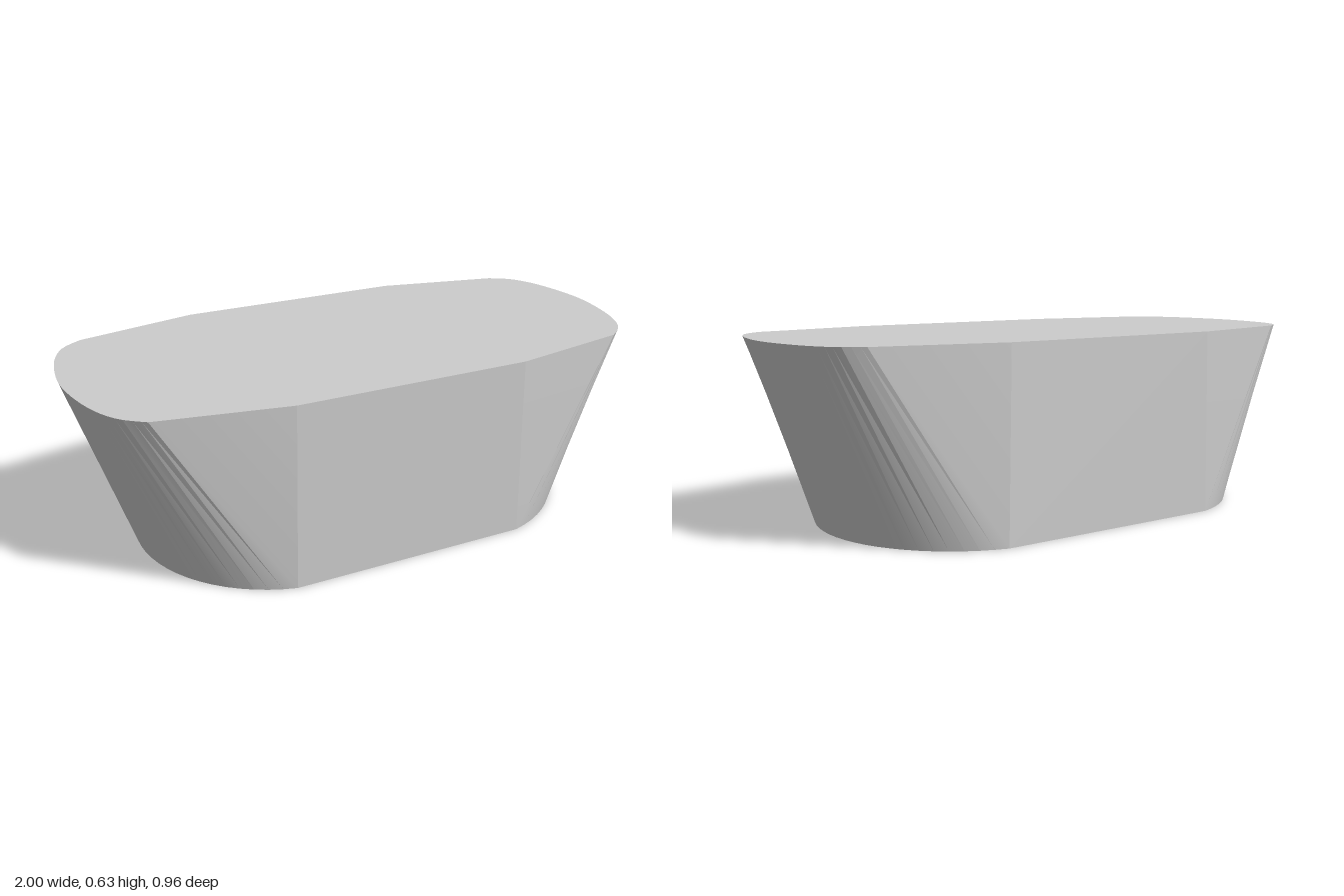
import * as THREE from 'three';
import { toCreasedNormals } from 'three/addons/utils/BufferGeometryUtils.js';

const HEIGHT = 0.63;
const SEGMENTS = 28;

// Right-hand end of the rim, back to front: straight chamfer, rounded end, straight chamfer
function rimEnd() {
  const curve = new THREE.SplineCurve([
    [0.84, -0.385], [0.91, -0.335], [0.957, -0.25], [0.987, -0.13], [1, 0],
    [0.987, 0.13], [0.957, 0.25], [0.91, 0.34], [0.84, 0.40],
  ].map(([x, z]) => new THREE.Vector2(x, z)));
  return [new THREE.Vector2(0.41, -0.48), ...curve.getPoints(SEGMENTS), new THREE.Vector2(0.41, 0.48)];
}

// Right-hand end of the base: one circular arc, with its ends doubled to match the rim
function baseEnd() {
  const half = 0.48, sagitta = 0.37;
  const r = (half * half + sagitta * sagitta) / (2 * sagitta);
  const sweep = Math.PI - Math.asin(half / r);
  const limit = r > sagitta ? Math.PI - sweep : sweep;
  const points = [];
  for (let i = 0; i <= SEGMENTS; i++) {
    const a = limit * (2 * i / SEGMENTS - 1);
    points.push(new THREE.Vector2(0.79 - r + r * Math.cos(a), r * Math.sin(a)));
  }
  return [points[0], ...points, points[SEGMENTS]];
}

// Close an end into a full outline by mirroring it across x
function outline(end, y) {
  const right = end.map((p) => new THREE.Vector3(p.x, y, p.y));
  const left = end.map((p) => new THREE.Vector3(-p.x, y, p.y)).reverse();
  return [...right, ...left];
}

function trianglesToGeometry(triangles) {
  const solid = triangles.filter(([a, b, c]) => new THREE.Triangle(a, b, c).getArea() > 1e-7);
  const geometry = new THREE.BufferGeometry().setFromPoints(solid.flat());
  return toCreasedNormals(geometry, 0.16);
}

export function createModel() {
  const group = new THREE.Group();
  group.name = 'taperedBlock';
  const material = new THREE.MeshStandardMaterial({ color: 0xcccccc });
  const rim = outline(rimEnd(), HEIGHT);
  const base = outline(baseEnd(), 0);
  const rimCentre = new THREE.Vector3(0, HEIGHT, 0);
  const baseCentre = new THREE.Vector3(0, 0, 0);

  const wall = [], top = [], bottom = [];
  for (let i = 0; i < rim.length; i++) {
    const j = (i + 1) % rim.length;
    wall.push([base[i], rim[i], base[j]], [rim[i], rim[j], base[j]]);
    top.push([rimCentre, rim[j], rim[i]]);
    bottom.push([baseCentre, base[i], base[j]]);
  }

  // Sloping wall and the two flat faces
  for (const [name, triangles] of Object.entries({ wall, top, bottom })) {
    const mesh = new THREE.Mesh(trianglesToGeometry(triangles), material);
    mesh.name = name;
    group.add(mesh);
  }
  return group;
}
